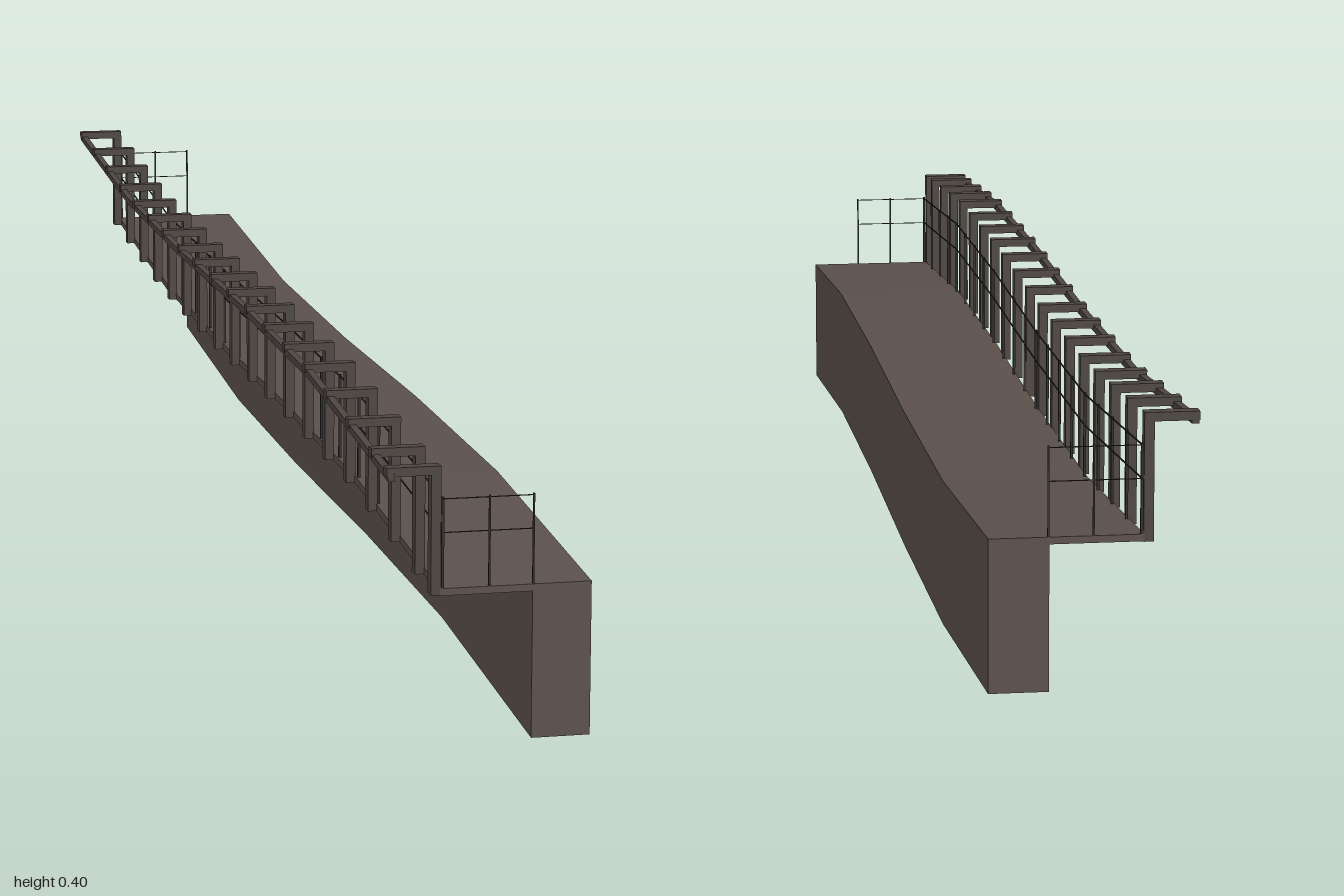
import * as THREE from 'three';

// Deck height along the length, linear between stations
const STATIONS = [[-1, 0.264], [-0.6, 0.229], [-0.2, 0.219], [0.2, 0.218], [0.6, 0.208], [1, 0.173]];
function deckY(z) {
  for (let i = 1; i < STATIONS.length; i++) {
    const [z0, y0] = STATIONS[i - 1], [z1, y1] = STATIONS[i];
    if (z <= z1 || i === STATIONS.length - 1) return y0 + (y1 - y0) * (z - z0) / (z1 - z0);
  }
}

export function createModel() {
  const group = new THREE.Group();
  const concrete = new THREE.MeshStandardMaterial({ color: 0x5b504b });
  concrete.name = 'brown concrete';
  const frame = new THREE.MeshStandardMaterial({ color: 0x4d4541 });
  frame.name = 'dark frame';
  const wire = new THREE.MeshStandardMaterial({ color: 0x2e2c2b });
  wire.name = 'railing metal';

  // Full-length bar following the deck; y values are relative to the deck top
  function longBar(name, x0, x1, y0, y1, material) {
    let geo = new THREE.BoxGeometry(x1 - x0, y1 - y0, 2, 1, 1, 5);
    geo.translate((x0 + x1) / 2, (y0 + y1) / 2, 0);
    const p = geo.attributes.position;
    for (let i = 0; i < p.count; i++) p.setY(i, p.getY(i) + deckY(p.getZ(i)));
    geo = geo.toNonIndexed();
    geo.computeVertexNormals();
    const mesh = new THREE.Mesh(geo, material);
    mesh.name = name;
    group.add(mesh);
  }

  // Upright box placed at z, again relative to the deck top
  function block(name, x0, x1, y0, y1, z, depth, material) {
    const mesh = new THREE.Mesh(new THREE.BoxGeometry(x1 - x0, y1 - y0, depth), material);
    mesh.position.set((x0 + x1) / 2, deckY(z) + (y0 + y1) / 2, z);
    mesh.name = name;
    group.add(mesh);
  }

  // Wall beam and walkway slab
  longBar('wallBeam', 0.048, 0.114, -0.172, 0, concrete);
  longBar('walkwaySlab', -0.055, 0.048, -0.008, 0, concrete);

  // Hooked posts carrying the outer rail
  const posts = [];
  for (let i = 0; i < 18; i++) posts.push(-0.992 + i * 0.1125);
  posts.push(0.992);
  for (const z of posts) {
    block('post', -0.065, -0.054, -0.008, 0.134, z, 0.015, frame);
    block('postArm', -0.114, -0.065, 0.124, 0.134, z, 0.015, frame);
  }
  longBar('outerRail', -0.113, -0.105, 0.12, 0.128, frame);

  // Thin railing beside the walkway
  for (let i = 0; i <= 20; i++) block('railingUpright', -0.0535, -0.0505, 0, 0.1, -0.998 + i * 0.0998, 0.003, wire);
  for (const y of [0.061, 0.098]) longBar('railingWire', -0.0527, -0.0513, y - 0.0007, y + 0.0007, wire);

  // Railing across both ends
  for (const z of [-0.998, 0.998]) {
    for (const x of [0, 0.049]) block('endUpright', x - 0.001, x + 0.001, 0, 0.1, z, 0.002, wire);
    for (const y of [0.061, 0.098]) block('endWire', -0.052, 0.05, y - 0.0005, y + 0.0005, z, 0.001, wire);
  }
  return group;
}
